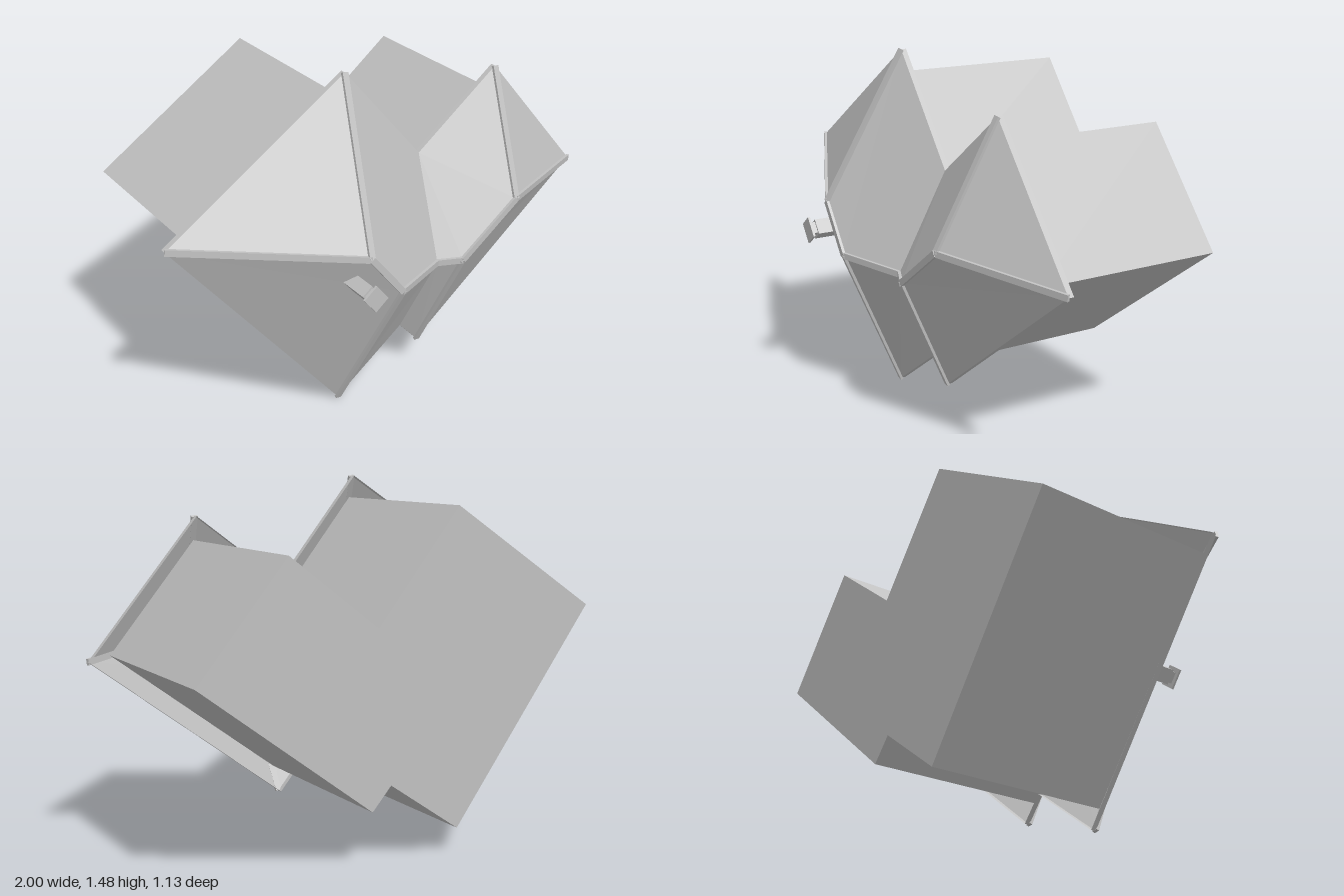
import * as THREE from 'three';

export function createModel() {
  const model = new THREE.Group();
  const grey = new THREE.MeshStandardMaterial({ color: 0xc0c0c0, side: THREE.DoubleSide });
  grey.name = 'plainGrey';
  const add = (name, geometry, parent = model) => {
    const mesh = new THREE.Mesh(geometry, grey);
    mesh.name = name;
    parent.add(mesh);
    return mesh;
  };
  // Flat faceted surface from polygons listed counter-clockwise
  const faceted = (polygons) => {
    const pos = [];
    for (const p of polygons)
      for (let i = 1; i < p.length - 1; i++) pos.push(...p[0], ...p[i], ...p[i + 1]);
    const g = new THREE.BufferGeometry();
    g.setAttribute('position', new THREE.Float32BufferAttribute(pos, 3));
    g.computeVertexNormals();
    return g;
  };

  // Roof corners at the eaves: large wing, small wing and the two valleys between
  const eave = 0.18, eaveBack = 0.157;
  const aLeft = [-0.998, 0.978, eave], aTop = [-0.211, 1.479, eave], aLow = [-0.26, 0.005, eave];
  const bTop = [0.532, 1.33, eave], bRight = [0.998, 0.78, eave], bLow = [0.158, 0.136, eave];
  const valleyTop = [0.147, 1.046, eave], valleyLow = [0.067, 0.241, eave];
  // Ridge ends and the point where both wings meet
  const a1 = [-0.307, 0.856, 0.49], a2 = [-0.158, 0.661, 0.49];
  const b1 = [0.479, 0.834, 0.413], b2 = [0.206, 0.636, 0.413];
  const join = [0.107, 0.637, 0.37];

  // Hollow hip roof
  add('roof', faceted([
    [aLeft, a1, aTop], [aLeft, aLow, a2, a1],
    [aTop, a1, a2, join, valleyTop], [aLow, valleyLow, join, a2],
    [valleyTop, join, b2, b1, bTop], [bTop, b1, bRight],
    [bRight, b1, b2, bLow], [bLow, b2, join, valleyLow],
  ]));

  // Eave band around the roof edge
  const rim = [aLeft, aLow, valleyLow, bLow, bRight, bTop, valleyTop, aTop];
  const back = ([x, y]) => [x, y, eaveBack];
  add('fascia', faceted(rim.map((p, i) => {
    const q = rim[(i + 1) % rim.length];
    return [p, back(p), back(q), q];
  })));

  // Capping strips along ridges and hips
  const strips = new THREE.Group();
  strips.name = 'ridgeCaps';
  model.add(strips);
  const lines = [[aLeft, a1], [aTop, a1], [a1, a2], [a2, aLow], [a2, join],
    [join, b2], [b2, b1], [b2, bLow], [b1, bTop], [b1, bRight]];
  for (const [p, q] of lines) {
    const from = new THREE.Vector3(...p), to = new THREE.Vector3(...q);
    const strip = add('ridgeCap', new THREE.BoxGeometry(0.026, 0.012, from.distanceTo(to)), strips);
    strip.up.set(0, 0, 1);
    strip.position.copy(from).lerp(to, 0.5);
    strip.lookAt(to);
  }

  // Walls of both wings, closed at the base
  const plan = [[-0.89, 0.96], [-0.24, 0.108], [0.078, 0.33], [0.162, 0.237],
    [0.89, 0.79], [0.52, 1.23], [0.139, 0.941], [-0.225, 1.385]];
  const shape = new THREE.Shape(plan.map(([x, y]) => new THREE.Vector2(x, y)));
  add('walls', new THREE.ExtrudeGeometry(shape, { depth: 0.785, bevelEnabled: false }))
    .position.z = -0.565;

  // Chimney: shaft, neck and cap plate
  const chimney = new THREE.Group();
  chimney.name = 'chimney';
  chimney.position.set(-0.34, 0.733, 0);
  chimney.rotation.z = -0.915;
  model.add(chimney);
  for (const [name, scale, z0, z1] of [['chimneyShaft', 0.74, 0.33, 0.533],
    ['chimneyNeck', 0.55, 0.53, 0.556], ['chimneyCap', 1, 0.555, 0.564]]) {
    add(name, new THREE.BoxGeometry(0.088 * scale, 0.072 * scale, z1 - z0), chimney)
      .position.z = (z0 + z1) / 2;
  }
  return model;
}
